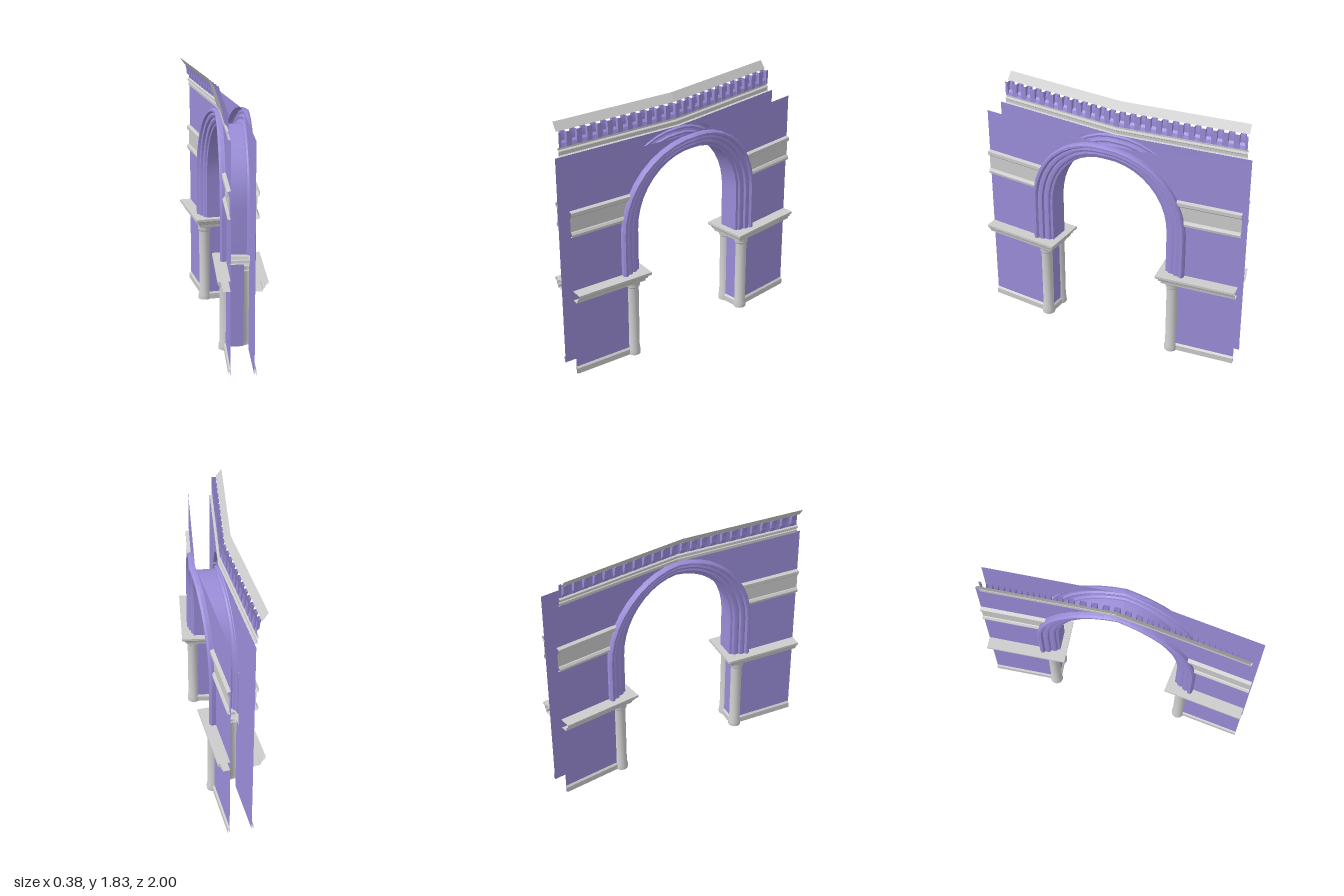
import * as THREE from 'three';
import { toCreasedNormals } from 'three/addons/utils/BufferGeometryUtils.js';

const PURPLE = new THREE.MeshStandardMaterial({ color: 0x9a8cd8, side: THREE.DoubleSide });
const GREY = new THREE.MeshStandardMaterial({ color: 0xcccccc, side: THREE.DoubleSide });

const HALF = 0.08;     // half the distance between the two wall sheets
const END = 0.985;     // outer end of each wing
const JAMB = 0.485;    // pillar face towards the opening
const SPRING = 0.99;   // height where the arch starts to curve
const CAP_TOP = 0.672;

// Surface through a list of equally long cross-sections of [q, y, z] points
function loft(sections) {
  const n = sections[0].length, index = [];
  for (let i = 0; i < sections.length - 1; i++)
    for (let j = 0; j < n - 1; j++) {
      const a = i * n + j, b = a + n;
      index.push(a, b, a + 1, b, b + 1, a + 1);
    }
  const g = new THREE.BufferGeometry();
  g.setAttribute('position', new THREE.Float32BufferAttribute(sections.flat(2), 3));
  g.setIndex(index);
  return g;
}

// Turn a straight half (z > 0) into one wing of the bent gateway
function bend(geo, s, crease) {
  const g = geo.clone(), p = g.attributes.position;
  for (let i = 0; i < p.count; i++) {
    const q = p.getX(i), z = p.getZ(i);
    p.setXYZ(i, 0.06 + q - 0.09 * z, p.getY(i), s * (z + 0.09 * q * Math.min(1, z / 0.4)));
  }
  g.computeVertexNormals();
  return toCreasedNormals(g, crease);
}

// Point on the arch ring: t = 0 inner edge, t = 1 outer edge
const archPoint = (t, a) => [(0.449 + 0.145 * t) * Math.cos(a), SPRING + (0.5 + 0.114 * t) * Math.sin(a)];
const outerZ = (y) => 0.594 * Math.sqrt(Math.max(0, 1 - ((y - SPRING) / 0.614) ** 2));

export function createModel() {
  const model = new THREE.Group();
  const add = (name, geo, mat, crease = 0.6) => {
    for (const s of [1, -1]) {
      const mesh = new THREE.Mesh(bend(geo, s, crease), mat);
      mesh.name = name + (s > 0 ? 'Front' : 'Back');
      model.add(mesh);
    }
  };

  const STEPS = 10;
  const angles = Array.from({ length: STEPS + 1 }, (_, i) => (i / STEPS) * Math.PI / 2);

  for (const side of [1, -1]) {
    const at = (p, y, z) => [side * (HALF + p), y, z];
    const strip = (profile, z0, z1) => loft([z0, z1].map((z) =>
      profile.map(([p, y]) => at(p, y, typeof z === 'function' ? z(y) : z))));

    // Thin wall sheet with the arch cut out
    const edge = [[0.54, 0], [0.54, 0.64], [0.594, 0.64], ...angles.map((a) => archPoint(1, a))];
    add('wall', loft(edge.map(([z, y]) => [at(0, y, z), at(0, y, END)])), PURPLE);

    // Sloped plinth at the foot of the wall
    add('plinth', strip([[0.012, 0], [0.012, 0.042], [0, 0.055]], 0.54, END), GREY);

    // Band of two mouldings with a flat plate between
    add('stringCourse', strip([
      [0, 1.09], [0.022, 1.094], [0.025, 1.112], [0.015, 1.127], [0.008, 1.13],
      [0.008, 1.235], [0.015, 1.24], [0.025, 1.25], [0.025, 1.275], [0, 1.283],
    ], (y) => outerZ(y) - 0.015, END), GREY, 0.4);

    // Corner column, open towards the inside of the pillar
    const column = new THREE.LatheGeometry([
      [0.047, 0], [0.047, 0.035], [0.041, 0.052], [0.041, 0.555],
      [0.049, 0.565], [0.049, 0.59], [0.053, 0.602],
    ].map(([r, y]) => new THREE.Vector2(r, y)), 14, 0, 4.1);
    column.translate(HALF, 0, 0.507).scale(side, 1, 1);
    add('column', column, GREY);
  }

  // Jamb between the two columns
  add('jamb', loft([-0.05, 0.05].map((q) => [[q, 0, JAMB], [q, 0.61, JAMB]])), PURPLE);
  add('jambPlinth', loft([-0.05, 0.05].map((q) =>
    [[q, 0, JAMB - 0.012], [q, 0.042, JAMB - 0.012], [q, 0.055, JAMB]])), GREY);

  // Stepped pillar cap running round three sides
  const capProfile = [
    [0, 0.6], [0.05, 0.6], [0.053, 0.62], [0.062, 0.624], [0.07, 0.645],
    [0.078, 0.648], [0.085, 0.655], [0.085, CAP_TOP], [0, CAP_TOP],
  ];
  const capPath = [[HALF, END, 1, 0], [HALF, JAMB, 1, -1], [-HALF, JAMB, -1, -1], [-HALF, END, -1, 0]];
  add('pillarCap', loft(capPath.map(([q, z, nq, nz]) =>
    capProfile.map(([p, y]) => [q + nq * p, y, z + nz * p]))), GREY, 0.3);

  // Arch: moulded ring on both faces joined by the smooth underside
  const ring = [
    [1, 0], [1, 0.028], [0.92, 0.042], [0.8, 0.042], [0.72, 0.026], [0.6, 0.03], [0.48, 0.025],
    [0.43, 0.01], [0.3, 0.014], [0.17, 0.008], [0.12, -0.004], [0, -0.008],
  ];
  const archProfile = [
    ...ring.map(([t, p]) => [t, HALF + p]),
    ...ring.map(([t, p]) => [t, -HALF - p]).reverse(),
  ];
  const archSection = (a, y0) => archProfile.map(([t, q]) => {
    const [z, y] = archPoint(t, a);
    return [q, y0 ?? y, z];
  });
  add('arch', loft([archSection(0, CAP_TOP - 0.005), ...angles.map((a) => archSection(a))]), PURPLE);

  // Entablature, on the right-hand wall only
  const TOP_END = 0.945;
  const rightStrip = (profile, end) => loft([0, end].map((z) => profile.map(([p, y]) => [-HALF - p, y, z])));
  add('architrave', rightStrip([
    [0, 1.605], [0.016, 1.608], [0.016, 1.628], [0.01, 1.634], [0.012, 1.64],
    [0.024, 1.646], [0.024, 1.66], [0.012, 1.668],
  ], TOP_END + 0.005), GREY, 0.4);

  // Frieze folded in and out into a row of hollow brackets
  const BRACKETS = 12, pitch = TOP_END / BRACKETS;
  const recess = [[0.012, 1.665], [0.012, 1.69], [0.012, 1.705], [0.012, 1.73], [0.012, 1.77]];
  const bracket = [[0.012, 1.665], [0.02, 1.69], [0.036, 1.705], [0.036, 1.73], [0.046, 1.77]];
  const folds = [];
  for (let i = 0; i < BRACKETS; i++)
    for (const [f, shape] of [[0, recess], [0.25, recess], [0.25, bracket], [0.75, bracket], [0.75, recess], [1, recess]])
      folds.push(shape.map(([p, y]) => [-HALF - p, y, (i + f) * pitch]));
  add('bracketFrieze', loft(folds), PURPLE, 0.3);

  // Slanted cornice leaning outwards above the brackets
  add('cornice', rightStrip([[0.045, 1.77], [0.086, 1.827]], TOP_END), GREY);

  return model;
}
